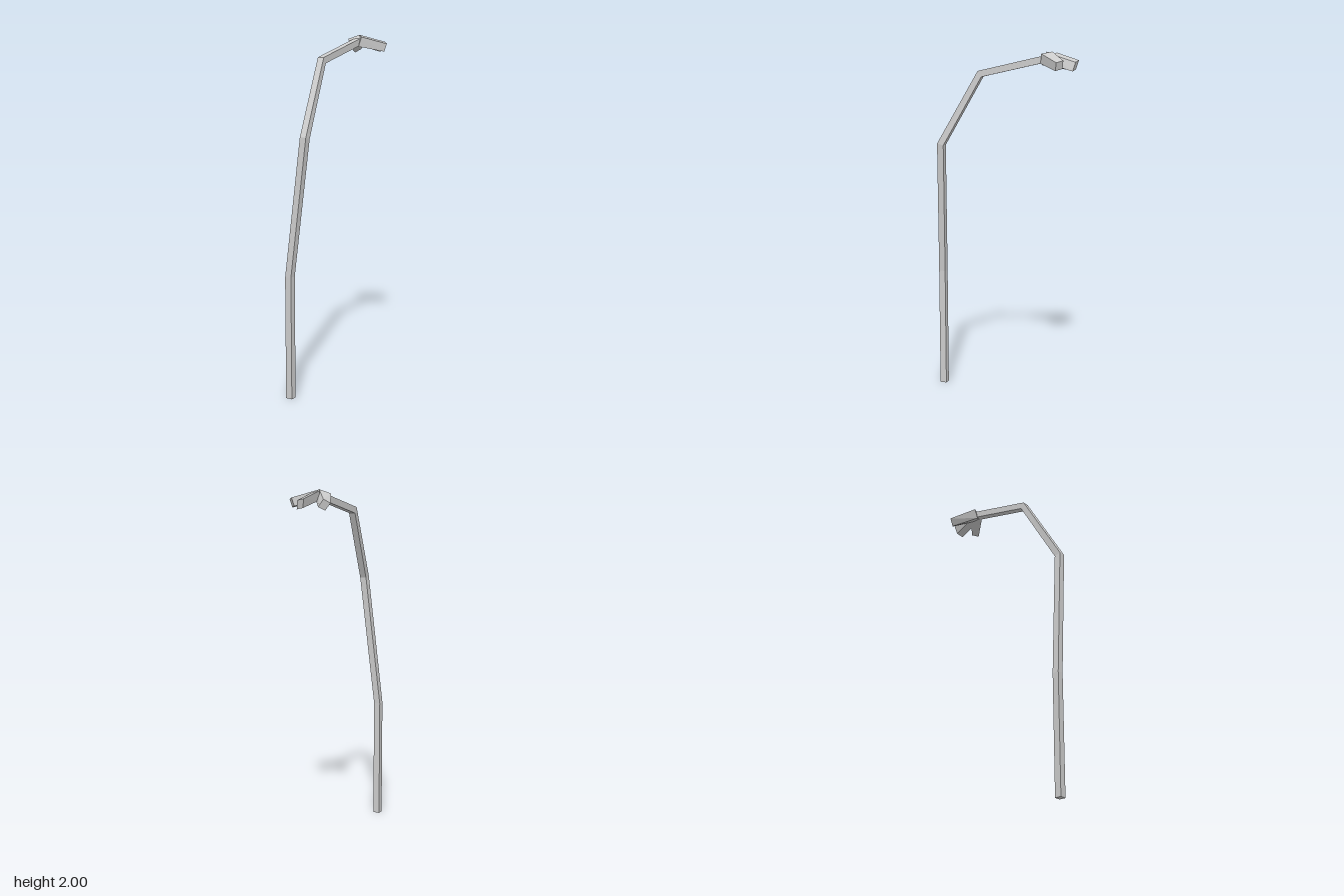
import * as THREE from 'three';

const material = new THREE.MeshStandardMaterial({ color: 0xcccccc, flatShading: true });

// Closed four-sided solid through a list of four-cornered rings
function loft(name, rings) {
  const pos = [];
  const quad = (a, b, c, d) => pos.push(...a, ...b, ...c, ...a, ...c, ...d);
  for (let r = 0; r < rings.length - 1; r++) {
    const lo = rings[r], hi = rings[r + 1];
    for (let i = 0; i < 4; i++) {
      const j = (i + 1) % 4;
      quad(lo[i], lo[j], hi[j], hi[i]);
    }
  }
  const first = rings[0], last = rings[rings.length - 1];
  quad(first[3], first[2], first[1], first[0]);
  quad(...last);
  const geometry = new THREE.BufferGeometry();
  geometry.setAttribute('position', new THREE.Float32BufferAttribute(pos, 3));
  geometry.computeVertexNormals();
  const mesh = new THREE.Mesh(geometry, material);
  mesh.name = name;
  return mesh;
}

// Square stem section: centre plus half-vectors across (x, y) and outward (y, z)
function section([x, y, z], [ax, ay], [ny, nz]) {
  return [[1, 1], [1, -1], [-1, -1], [-1, 1]].map(([s, t]) =>
    [x + s * ax, y + s * ay + t * ny, z + t * nz]);
}

// Petal end: upper left and right corners, lower pair found by a shared offset
function petalEnd(left, right, drop) {
  const lower = (p) => p.map((v, i) => v + drop[i]);
  return [left, right, lower(right), lower(left)];
}

export function createModel() {
  const group = new THREE.Group();
  group.name = 'flower';

  // Bent stem with mitred joints
  group.add(loft('stem', [
    section([-0.056, 0, 0.407], [0.019, 0], [0, 0.019]),
    section([-0.056, 0.695, 0.407], [0.019, 0.002], [0.001, 0.019]),
    section([0.025, 1.462, 0.375], [0.019, 0], [0.005, 0.019]),
    section([-0.01, 1.866, 0.146], [0.019, 0], [0.0165, 0.0105]),
    section([-0.01, 1.958, -0.245], [0.019, 0], [0.0185, 0.0045]),
  ]));

  // Three blocky petals fanned out from the stem tip
  group.add(loft('rightPetal', [
    petalEnd([-0.056, 1.973, -0.212], [-0.002, 1.996, -0.246], [0.024, -0.053, 0.002]),
    petalEnd([-0.126, 1.93, -0.352], [-0.097, 1.95, -0.377], [0.028, -0.04, -0.007]),
  ]));
  group.add(loft('middlePetal', [
    petalEnd([-0.032, 1.99, -0.295], [0.012, 1.982, -0.28], [0.01, -0.052, 0.012]),
    petalEnd([-0.007, 1.953, -0.428], [0.034, 1.944, -0.422], [0.011, -0.049, 0.013]),
  ]));
  group.add(loft('leftPetal', [
    petalEnd([-0.018, 1.996, -0.273], [0.025, 1.985, -0.223], [-0.014, -0.055, 0.008]),
    petalEnd([0.097, 1.955, -0.372], [0.126, 1.945, -0.341], [-0.012, -0.045, 0.008]),
  ]));
  return group;
}
